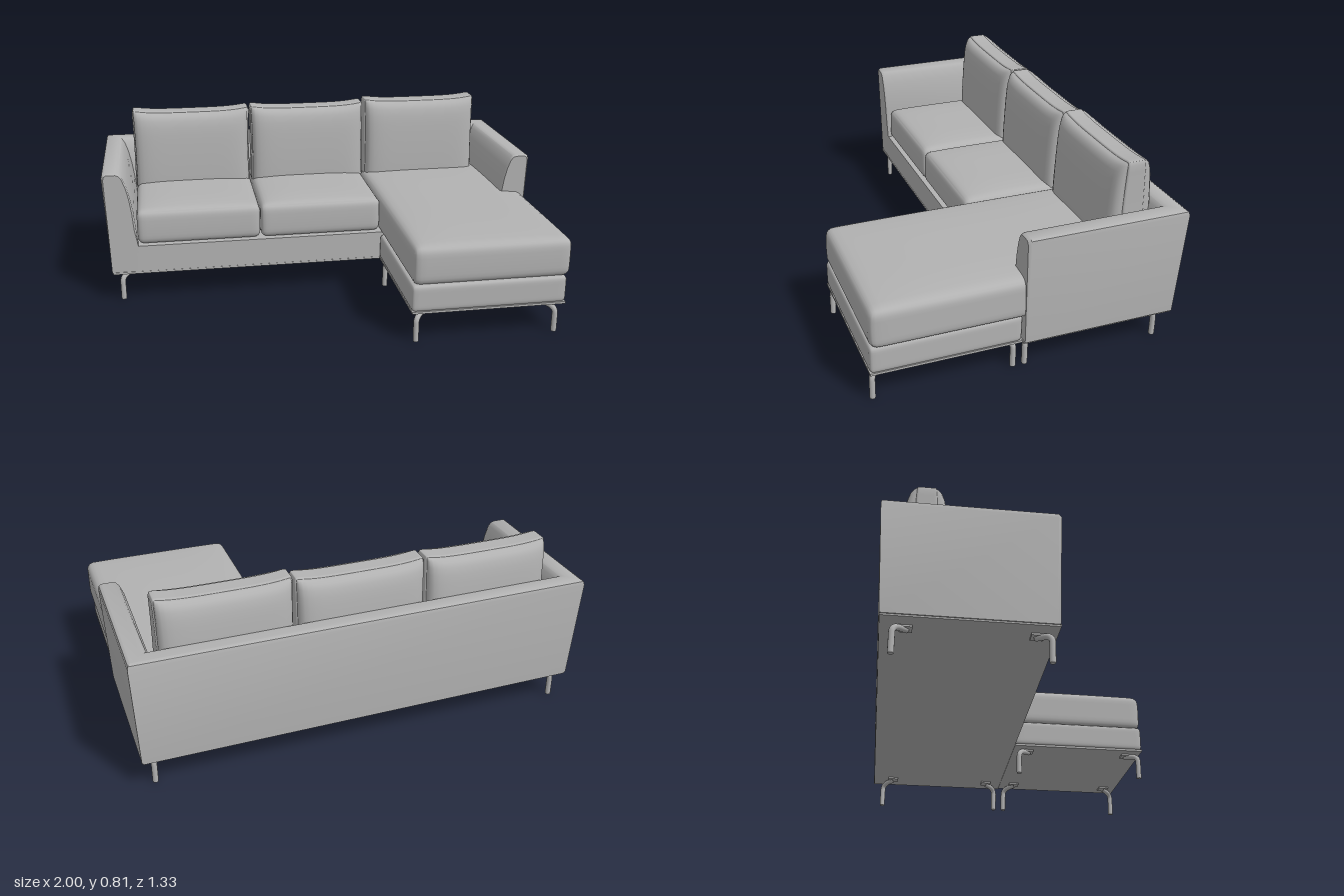
import * as THREE from 'three';
import { mergeVertices, toCreasedNormals } from 'three/addons/utils/BufferGeometryUtils.js';

const fabric = new THREE.MeshStandardMaterial({ color: 0xb2b2b2 });
fabric.name = 'grey';

function add(parent, name, geometry, x = 0, y = 0, z = 0) {
  const mesh = new THREE.Mesh(geometry, fabric);
  mesh.name = name;
  mesh.position.set(x, y, z);
  parent.add(mesh);
  return mesh;
}

// Soft block: rounded edges, then an optional rule that bends each vertex
function softBlock(w, h, d, r, rule) {
  const geo = new THREE.BoxGeometry(2, 2, 2, 22, 14, 22);
  geo.deleteAttribute('uv');
  geo.deleteAttribute('normal');
  const half = new THREE.Vector3(w / 2, h / 2, d / 2);
  const inner = half.clone().subScalar(r);
  const pos = geo.attributes.position;
  const p = new THREE.Vector3(), q = new THREE.Vector3(), u = new THREE.Vector3();
  const ease = (t) => Math.sin(t * Math.PI / 2); // denser rows near the edges
  for (let i = 0; i < pos.count; i++) {
    u.fromBufferAttribute(pos, i);
    u.set(ease(u.x), ease(u.y), ease(u.z));
    p.copy(u).multiply(half);
    q.copy(p).clamp(inner.clone().negate(), inner);
    p.sub(q).setLength(r).add(q);
    if (rule) rule(p, u);
    pos.setXYZ(i, p.x, p.y, p.z);
  }
  const out = mergeVertices(geo, 1e-5);
  out.computeVertexNormals();
  return out;
}

// Seat: crowned top and slightly bulging sides
const seatRule = (p, u) => {
  if (p.y > 0) p.y += 0.016 * u.y * (1 - u.x ** 4) * (1 - u.z ** 4);
  p.z += 0.004 * u.z * (1 - u.y ** 2);
};

// Back pillow: thinner at the border and the top, with raised upper corners
const pillowRule = (p, u) => {
  const s = (u.y + 1) / 2;
  const fill = (1 - u.x ** 8) * (1 - Math.max(u.y, 0) ** 6);
  p.z *= (0.5 + 0.5 * Math.sqrt(Math.max(fill, 0))) * (1 - 0.22 * s * s);
  if (u.y > 0) p.y += 0.016 * u.y * u.x ** 4;
  p.x *= 1 - 0.012 * (1 - u.y * u.y);
};

// Arms and back: one wall section (inset, height) swept round three sides
function wallGeometry() {
  const section = [
    [0.02, 0.14], [0, 0.6], [0.004, 0.615], [0.015, 0.622], [0.062, 0.622], [0.078, 0.617],
    [0.092, 0.6], [0.108, 0.56], [0.122, 0.5], [0.133, 0.43], [0.14, 0.35], [0.146, 0.27], [0.146, 0.14],
  ];
  const frontZ = (y) => 0.025 + 0.01 * (y - 0.14) / 0.48;
  const front = (side, rounded) => ([d, y]) => {
    const k = rounded && y > 0.28 ? 1 : 0;
    const dd = d + (0.07 - d) * 0.12 * k;
    const yy = y - (y > 0.55 ? 0.007 * k : 0);
    return [side * (1 - dd), yy, frontZ(y) - (rounded ? 0 : 0.012)];
  };
  const corner = (side) => ([d, y]) => [side * (1 - d), y, -0.665 + d];
  const stations = [front(-1, true), front(-1, false), corner(-1), corner(1), front(1, false), front(1, true)];
  const n = section.length, verts = [], index = [];
  for (const place of stations) for (const s of section) verts.push(...place(s));
  for (let s = 0; s < stations.length - 1; s++) {
    for (let i = 0; i < n; i++) {
      const j = (i + 1) % n;
      const a = s * n + i, c = s * n + j, b = a + n, e = c + n;
      index.push(a, c, b, c, e, b);
    }
  }
  // front caps of both arms
  const contour = section.map(([d, y]) => new THREE.Vector2(d, y)).reverse();
  const last = (stations.length - 1) * n;
  for (const t of THREE.ShapeUtils.triangulateShape(contour, [])) {
    const [a, b, c] = t.map((i) => n - 1 - i);
    index.push(a, b, c, last + a, last + c, last + b);
  }
  const geo = new THREE.BufferGeometry();
  geo.setAttribute('position', new THREE.Float32BufferAttribute(verts, 3));
  geo.setIndex(index);
  return toCreasedNormals(geo, 0.7);
}

// Bent leg: upright tube that turns diagonally inward under the frame
function makeLeg(x, z, dx, dz) {
  const leg = new THREE.Group();
  leg.name = 'leg';
  leg.position.set(x, 0, z);
  const path = new THREE.CurvePath();
  const at = (t, y) => new THREE.Vector3(dx * t, y, dz * t);
  path.add(new THREE.LineCurve3(at(0, 0.004), at(0, 0.085)));
  path.add(new THREE.QuadraticBezierCurve3(at(0, 0.085), at(0, 0.118), at(0.035, 0.121)));
  path.add(new THREE.LineCurve3(at(0.035, 0.121), at(0.055, 0.126)));
  add(leg, 'legTube', new THREE.TubeGeometry(path, 24, 0.0125, 12));
  add(leg, 'foot', new THREE.CylinderGeometry(0.0125, 0.0115, 0.006, 12), 0, 0.003, 0);
  add(leg, 'mountingPlate', new THREE.BoxGeometry(0.05, 0.01, 0.05), dx * 0.05, 0.13, dz * 0.05);
  return leg;
}

export function createModel() {
  const sofa = new THREE.Group();
  sofa.name = 'cornerSofa';

  // frame
  add(sofa, 'armsAndBack', wallGeometry());
  add(sofa, 'seatBase', new THREE.BoxGeometry(1.72, 0.128, 0.62), 0, 0.204, -0.283);
  add(sofa, 'chaiseBase', softBlock(0.685, 0.122, 0.632, 0.02), 0.6225, 0.2, 0.345);
  add(sofa, 'sofaUnderside', new THREE.BoxGeometry(1.95, 0.01, 0.672), 0, 0.138, -0.308);
  add(sofa, 'chaiseUnderside', new THREE.BoxGeometry(0.68, 0.01, 0.632), 0.6225, 0.138, 0.345);

  // seat cushions
  for (const x of [-0.571, 0]) {
    add(sofa, 'seatCushion', softBlock(0.568, 0.162, 0.6, 0.03, seatRule), x, 0.349, -0.285);
  }
  add(sofa, 'chaiseCushion', softBlock(0.694, 0.176, 1.2, 0.035, seatRule), 0.632, 0.343, 0.058);

  // back pillows
  [[-0.575, 0.78], [0.002, 0.782], [0.58, 0.795]].forEach(([x, top]) => {
    add(sofa, 'backPillow', softBlock(0.572, top - 0.4, 0.214, 0.022, pillowRule), x, (top + 0.4) / 2, -0.488);
  });

  // legs: position, then inward direction
  const legs = [
    [-0.935, 0, 1, -1], [-0.935, -0.595, 1, 1], [0.925, 0, -1, -1], [0.925, -0.595, -1, 1],
    [0.305, 0.645, 1, -1], [0.925, 0.645, -1, -1], [0.305, 0.052, 1, 1], [0.925, 0.052, -1, 1],
  ];
  for (const l of legs) sofa.add(makeLeg(...l));

  return sofa;
}
